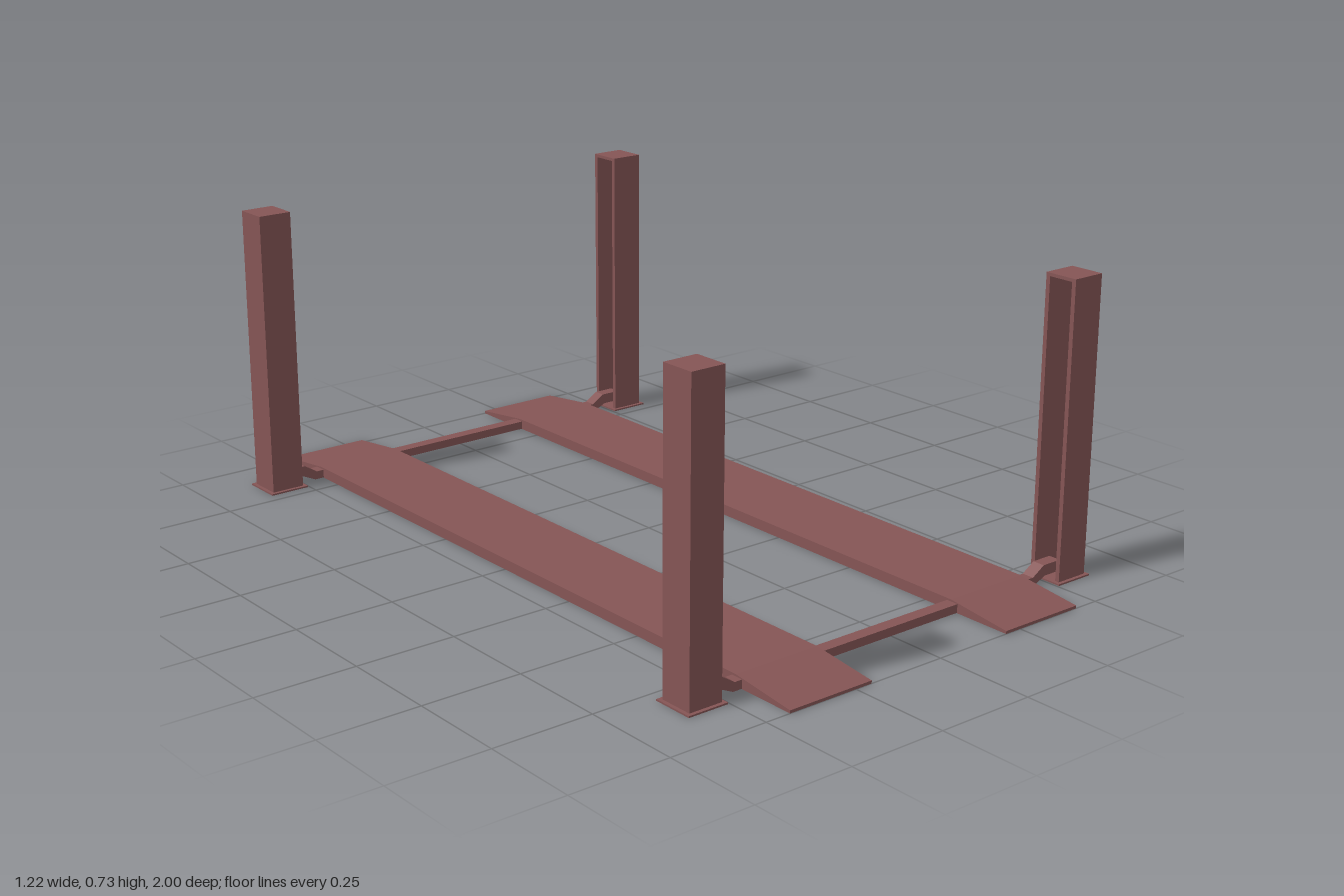
import * as THREE from 'three';

const POST_X = 0.557, POST_Z = 0.835, POST_SIZE = 0.087, HEIGHT = 0.73;

export function createModel() {
  const model = new THREE.Group();
  model.name = 'fourPostLift';
  const steel = new THREE.MeshStandardMaterial({ color: 0x855555 });
  steel.name = 'red brown steel';

  const add = (parent, name, geometry, x = 0, y = 0, z = 0) => {
    const mesh = new THREE.Mesh(geometry, steel);
    mesh.name = name;
    mesh.position.set(x, y, z);
    parent.add(mesh);
    return mesh;
  };

  // Shape from corner points, extruded and centred along its depth
  const prism = (points, depth) => {
    const shape = new THREE.Shape(points.map(([x, y]) => new THREE.Vector2(x, y)));
    return new THREE.ExtrudeGeometry(shape, { depth, bevelEnabled: false }).translate(0, 0, -depth / 2);
  };

  // Post: channel section open towards -x, closed by a cap, on a base plate
  const h = POST_SIZE / 2, wall = 0.011, cap = 0.008, base = 0.004;
  const bodyHeight = HEIGHT - cap - base;
  const channel = prism([
    [-h, -h], [h, -h], [h, h], [-h, h],
    [-h, h - wall], [h - wall, h - wall], [h - wall, -h + wall], [-h, -h + wall],
  ], bodyHeight).rotateX(-Math.PI / 2);
  const capPlate = new THREE.BoxGeometry(POST_SIZE, cap, POST_SIZE);
  const basePlate = new THREE.BoxGeometry(0.105, base, 0.105);

  for (const sx of [1, -1]) {
    for (const sz of [1, -1]) {
      const post = new THREE.Group();
      post.name = `${sz > 0 ? 'front' : 'back'}${sx > 0 ? 'Left' : 'Right'}Post`;
      post.position.set(sx * POST_X, 0, sz * POST_Z);
      post.rotation.y = sx > 0 ? 0 : Math.PI;
      add(post, 'channel', channel, 0, base + bodyHeight / 2);
      add(post, 'cap', capPlate, 0, HEIGHT - cap / 2);
      add(post, 'basePlate', basePlate, 0, base / 2);
      model.add(post);
    }
  }

  // Crossbeams: low in the middle, cranked up into the posts
  const half = [[0.46, 0.001], [0.495, 0.017], [0.545, 0.017], [0.545, 0.044], [0.49, 0.044], [0.455, 0.022]];
  const mirrored = half.map(([x, y]) => [-x, y]).reverse();
  const beam = prism([...half, ...mirrored], 0.032);
  add(model, 'frontCrossbeam', beam, 0, 0, POST_Z);
  add(model, 'backCrossbeam', beam, 0, 0, -POST_Z);

  // Runways: flat decks with a shallow ramp at each end
  const deck = prism([
    [-1, 0], [1, 0], [1, 0.007], [0.83, 0.027], [-0.83, 0.027], [-1, 0.007],
  ], 0.23).rotateY(Math.PI / 2);
  add(model, 'leftRunway', deck, 0.32);
  add(model, 'rightRunway', deck, -0.32);

  return model;
}
